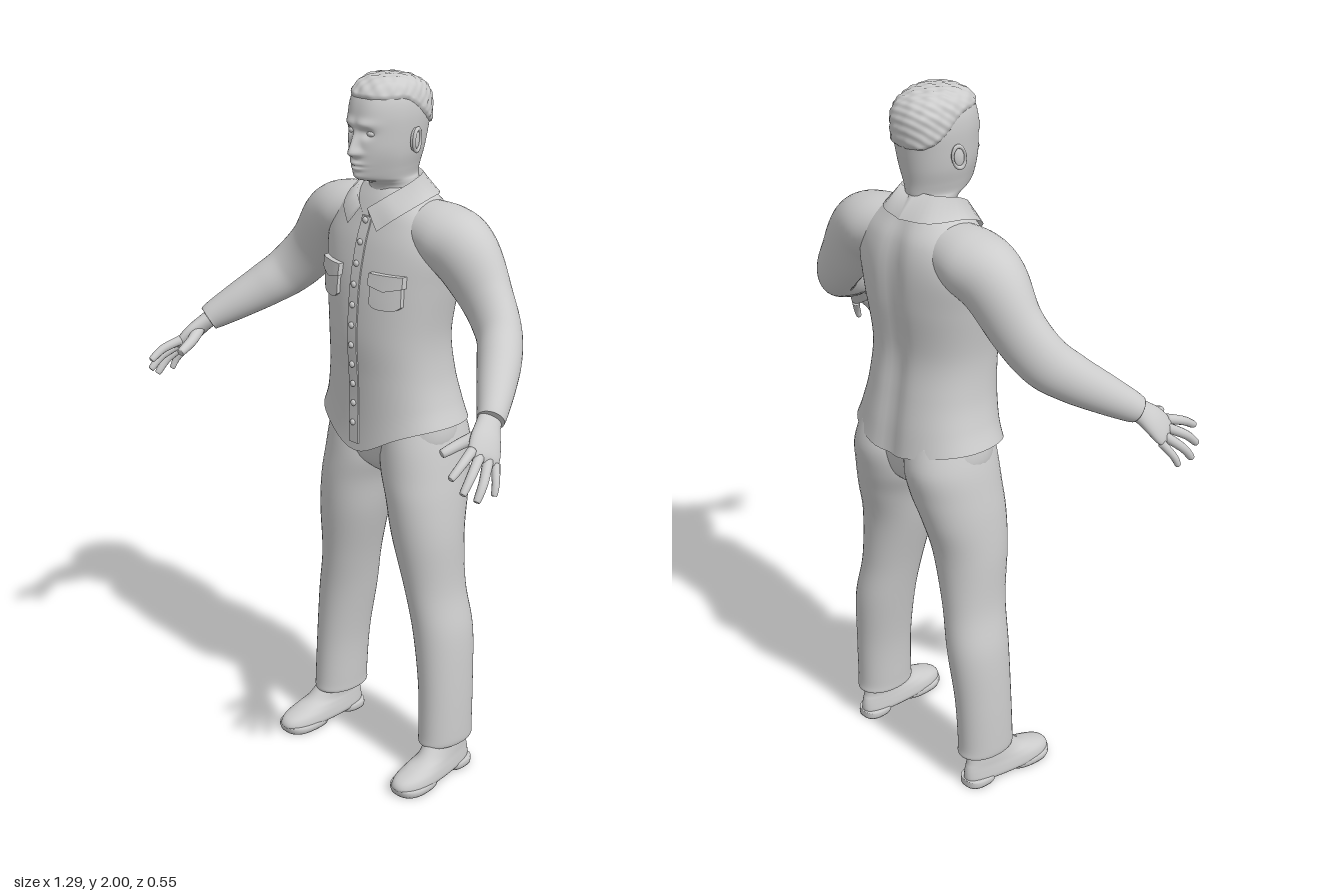
import * as THREE from 'three';

const { smoothstep } = THREE.MathUtils;
const V = (x, y, z) => new THREE.Vector3(x, y, z);
const bump = (d, w) => Math.exp(-(d * d) / (w * w));

// Smoothly interpolates the rows of a small table of cross-sections
function resample(table, count) {
  const last = table.length - 1;
  return Array.from({ length: count + 1 }, (_, k) => {
    const s = (k / count) * last, i = Math.min(Math.floor(s), last - 1), t = s - i;
    const [p, a, b, q] = [i - 1, i, i + 1, i + 2].map(j => table[Math.max(0, Math.min(last, j))]);
    return a.map((_, c) => {
      const m = (b[c] - p[c]) / 2, n = (q[c] - a[c]) / 2, d = b[c] - a[c];
      return a[c] + t * (m + t * (3 * d - 2 * m - n + t * (m + n - 2 * d)));
    });
  });
}

// Horizontal rings from rows [y, centre x, half width, front z, back z, squareness]
function levelRings(table, count, sides) {
  return resample(table, count).map(([y, cx, rx, zf, zb, n]) =>
    Array.from({ length: sides }, (_, j) => {
      const t = (j / sides) * Math.PI * 2, s = Math.sin(t), c = Math.cos(t);
      return V(cx + rx * Math.sign(s) * Math.abs(s) ** (2 / n), y,
        (zf + zb) / 2 + (zf - zb) / 2 * Math.sign(c) * Math.abs(c) ** (2 / n));
    }));
}

// Rings across a path from rows [x, y, z, thickness, radius along ref]
function limbRings(table, count, sides, ref) {
  const rows = resample(table, count), at = i => V(...rows[Math.max(0, Math.min(count, i))]);
  return rows.map((r, i) => {
    const T = at(i + 1).sub(at(i - 1)).normalize();
    const U = T.clone().cross(ref).normalize(), W = U.clone().cross(T);
    return Array.from({ length: sides }, (_, j) => {
      const t = (j / sides) * Math.PI * 2;
      return V(r[0], r[1], r[2]).addScaledVector(U, r[3] * Math.sin(t)).addScaledVector(W, r[4] * Math.cos(t));
    });
  });
}

// Skins a stack of rings, with optional end caps and a rule that moves vertices
function skin(rings, { bottom = true, top = true, rule } = {}) {
  const n = rings[0].length, m = rings.length, pts = rings.flat(), index = [];
  for (let i = 0; i < m - 1; i++) for (let j = 0; j < n; j++) {
    const a = i * n + j, b = i * n + (j + 1) % n;
    index.push(a, b, a + n, b, b + n, a + n);
  }
  const cap = (row, flip) => {
    const c = pts.length;
    pts.push(rings[row].reduce((s, p) => s.add(p), V(0, 0, 0)).divideScalar(n));
    for (let j = 0; j < n; j++) {
      const a = row * n + j, b = row * n + (j + 1) % n;
      flip ? index.push(b, a, c) : index.push(a, b, c);
    }
  };
  if (bottom) cap(0, true);
  if (top) cap(m - 1, false);
  if (rule) pts.forEach(rule);
  const g = new THREE.BufferGeometry().setFromPoints(pts);
  g.setIndex(index);
  g.computeVertexNormals();
  return g;
}

function mirrored(geo) {
  const g = geo.clone(), ix = g.index.array;
  g.attributes.position.array.forEach((v, i, arr) => { if (i % 3 === 0) arr[i] = -v; });
  for (let i = 0; i < ix.length; i += 3) [ix[i], ix[i + 1]] = [ix[i + 1], ix[i]];
  g.computeVertexNormals();
  return g;
}

export function createModel() {
  const model = new THREE.Group();
  const grey = new THREE.MeshStandardMaterial({ color: 0xcccccc, side: THREE.DoubleSide });
  grey.name = 'light grey';
  const add = (name, geo) => {
    const mesh = new THREE.Mesh(geo, grey);
    mesh.name = name;
    model.add(mesh);
  };
  const addPair = (name, geo) => { add('left ' + name, geo); add('right ' + name, mirrored(geo)); };

  // Shirt body with a curved hem and a groove down the back
  const shirt = [
    [1.065, 0, .222, .045, -.272, 2.3], [1.12, 0, .2, .042, -.262, 2.3], [1.2, 0, .182, .045, -.245, 2.3],
    [1.31, 0, .178, .05, -.232, 2.3], [1.45, 0, .198, .04, -.245, 2.3], [1.55, 0, .212, .02, -.245, 2.3],
    [1.62, 0, .19, -.003, -.232, 2.2], [1.67, 0, .135, -.022, -.205, 2.1], [1.705, 0, .085, -.04, -.18, 2]];
  add('shirt', skin(levelRings(shirt, 60, 72), {
    bottom: false,
    rule: p => {
      const c = Math.max(-1, Math.min(1, (p.z + .11) / .158)), hem = 1 - smoothstep(p.y, 1.06, 1.2);
      const side = bump(p.x, .13);
      if (c < 0) p.z += .014 * bump(p.x, .035) * smoothstep(-c, .3, .9);
      p.y -= hem * side * (c > 0 ? .09 : .04) * smoothstep(Math.abs(c), .1, .8);
    },
  }));

  // Details that follow the front of the shirt
  const rows = resample(shirt, 200);
  const frontZ = (x, y) => {
    const r = rows.reduce((a, b) => Math.abs(b[0] - y) < Math.abs(a[0] - y) ? b : a);
    const k = Math.max(0, 1 - Math.abs(x / r[2]) ** r[5]) ** (1 / r[5]);
    return (r[3] + r[4]) / 2 + (r[3] - r[4]) / 2 * k;
  };
  const draped = (w, h, d, x, y, rule = () => 0) => {
    const g = new THREE.BoxGeometry(w, h, d, 8, Math.ceil(h / .015), 1), p = g.attributes.position;
    for (let i = 0; i < p.count; i++) {
      const u = p.getX(i) / w;
      const px = p.getX(i) + x, py = p.getY(i) + y + (p.getY(i) < 0 ? rule(u) : 0);
      p.setXYZ(i, px, py, p.getZ(i) + frontZ(px, py));
    }
    g.computeVertexNormals();
    return g;
  };
  add('placket', draped(.034, .63, .008, 0, 1.315));
  addPair('chest pocket', draped(.085, .085, .022, .104, 1.443, u => .012 * (u * 2) ** 4));
  addPair('pocket flap', draped(.095, .032, .032, .104, 1.48, u => -.012 * (1 - Math.abs(u * 2))));
  for (let i = 0; i < 11; i++) {
    const y = 1.62 - i * .056, g = new THREE.SphereGeometry(.009, 12, 8);
    g.scale(1, 1, .7);
    g.translate(0, y, frontZ(0, y) + .006);
    add('button ' + (i + 1), g);
  }

  // Turned-down collar: stand, fold and pointed outer edge
  const edges = [
    [V(0, 1.67, -.16), V(.065, 1.67, -.13), V(.075, 1.66, -.08), V(.05, 1.64, -.03), V(.012, 1.62, -.005)],
    [V(0, 1.742, -.168), V(.066, 1.738, -.145), V(.086, 1.725, -.085), V(.056, 1.69, -.022), V(.012, 1.655, .008)],
    [V(0, 1.675, -.212), V(.088, 1.68, -.188), V(.132, 1.682, -.1), V(.105, 1.645, -.018), V(.055, 1.602, .016)],
  ].map(e => new THREE.CatmullRomCurve3(e).getPoints(20));
  const collar = new THREE.BufferGeometry().setFromPoints(edges.flat()), faces = [];
  for (let r = 0; r < 2; r++) for (let i = 0; i < 20; i++) {
    const a = r * 21 + i;
    faces.push(a, a + 21, a + 1, a + 1, a + 21, a + 22);
  }
  collar.setIndex(faces);
  collar.computeVertexNormals();
  addPair('collar', collar);

  // Trousers: seat and legs
  add('trouser seat', skin(levelRings([
    [.89, 0, .07, -.05, -.16, 2], [.93, 0, .15, -.012, -.215, 2.2], [1, 0, .2, .008, -.24, 2.3],
    [1.08, 0, .195, .015, -.24, 2.3], [1.14, 0, .17, .01, -.22, 2.3]], 24, 48)));
  addPair('trouser leg', skin(levelRings([
    [.1, .22, .054, -.025, -.188, 2.1], [.105, .22, .061, -.018, -.197, 2.1], [.14, .22, .063, -.02, -.195, 2.1],
    [.28, .214, .066, -.024, -.2, 2.1], [.44, .196, .074, -.022, -.21, 2.1], [.575, .17, .076, -.012, -.202, 2.1],
    [.73, .147, .094, .008, -.208, 2.1], [.84, .131, .101, .015, -.235, 2.1], [.92, .112, .109, .014, -.255, 2.1],
    [1.0, .102, .105, .01, -.268, 2.1], [1.08, .095, .09, 0, -.25, 2.1]], 60, 40)));

  // Shoes, wider and splayed towards the toe
  const splay = p => {
    const f = smoothstep(p.z, -.18, .08);
    p.x = .226 + (p.x - .226) * (.8 + .28 * f) + .012 * f;
  };
  addPair('shoe', skin(levelRings([
    [.012, .226, .047, .1, -.18, 2.4], [.022, .226, .052, .112, -.188, 2.4], [.042, .226, .05, .1, -.188, 2.3],
    [.06, .226, .046, .055, -.185, 2.2], [.08, .226, .043, .005, -.18, 2.1], [.13, .22, .042, -.04, -.178, 2]],
    24, 40), { rule: splay }));
  for (const [name, zf, zb] of [['sole', .108, -.045], ['heel', -.095, -.19]])
    addPair('shoe ' + name, skin(levelRings([
      [0, .226, .048, zf - .004, zb, 2.6], [.012, .226, .052, zf, zb, 2.6], [.022, .226, .05, zf, zb, 2.6]],
      4, 32), { rule: splay }));

  // Sleeved arms
  addPair('arm', skin(limbRings([
    [.09, 1.6, -.12, .085, .075], [.18, 1.586, -.122, .1, .088], [.25, 1.552, -.12, .088, .094],
    [.33, 1.458, -.116, .066, .08], [.4, 1.383, -.09, .06, .072], [.45, 1.335, -.04, .058, .064],
    [.5, 1.288, .025, .05, .053], [.54, 1.25, .08, .04, .042], [.552, 1.236, .1, .036, .036]],
    60, 36, V(0, 1, 0))));

  // Hands: palm, four fingers and thumb
  const across = V(-.035, .035, .065);
  addPair('palm', skin(limbRings([
    [.54, 1.25, .08, .024, .032], [.556, 1.226, .112, .022, .034], [.574, 1.198, .14, .021, .043],
    [.59, 1.168, .162, .017, .045], [.597, 1.155, .172, .008, .038]], 20, 24, across)));
  const fingers = {
    'index finger': [[.574, 1.186, .188], [.589, 1.168, .24], [.592, 1.145, .278]],
    'middle finger': [[.587, 1.172, .174], [.61, 1.14, .228], [.617, 1.108, .262]],
    'ring finger': [[.599, 1.158, .156], [.625, 1.118, .2], [.632, 1.083, .228]],
    'little finger': [[.608, 1.146, .138], [.63, 1.11, .16], [.637, 1.083, .172]],
    thumb: [[.555, 1.21, .135], [.532, 1.192, .18], [.517, 1.175, .23]],
  };
  for (const [name, [a, b, c]] of Object.entries(fingers)) {
    const r = name === 'thumb' ? .015 : name === 'little finger' ? .01 : .012;
    const tip = c.map((v, i) => v + (v - b[i]) * .1);
    addPair(name, skin(limbRings([[...a, r * 1.15, r * 1.15], [...b, r, r], [...c, r * .8, r * .8],
      [...tip, r * .35, r * .35]], 18, 12, across)));
  }

  // Head and neck, with the features of the face raised and sunk
  const headRings = () => levelRings([
    [1.64, 0, .074, -.025, -.172, 2], [1.7, 0, .066, -.035, -.172, 2], [1.722, 0, .064, -.012, -.173, 2],
    [1.735, 0, .064, .026, -.175, 2], [1.76, 0, .07, .037, -.178, 2.1], [1.8, 0, .08, .039, -.186, 2.2],
    [1.85, 0, .086, .037, -.194, 2.3], [1.9, 0, .089, .034, -.2, 2.4], [1.94, 0, .085, .024, -.194, 2.4],
    [1.97, 0, .073, .006, -.172, 2.3], [1.988, 0, .048, -.028, -.13, 2.2], [1.993, 0, .012, -.065, -.09, 2]], 120, 120);
  const face = p => {
    const f = smoothstep(p.z, -.06, .03), x = Math.abs(p.x), y = p.y;
    const front = smoothstep(p.z, -.025, .01);
    const nose = bump(x, .011 + .008 * bump(y - 1.806, .012));
    const ridge = y < 1.806 ? bump(y - 1.806, .01) : 1 - smoothstep(y, 1.806, 1.875);
    p.z += front * (.026 * nose * ridge + .008 * bump(y - 1.882, .012) * bump(x - .028, .03)
      - .013 * bump(y - 1.858, .012) * bump(x - .034, .016)
      + .009 * bump(y - 1.778, .006) * bump(x, .024) + .008 * bump(y - 1.765, .006) * bump(x, .021)
      - .005 * bump(y - 1.7715, .003) * bump(x, .026) + .006 * bump(y - 1.742, .011) * bump(x, .025));
    if (y > 1.71) p.x *= 1 - f * (.08 + .14 * (1 - smoothstep(y, 1.73, 1.83)));
  };
  add('head', skin(headRings(), { rule: face }));
  const eye = new THREE.SphereGeometry(.013, 20, 14);
  eye.scale(1.1, .65, .8);
  eye.translate(.034, 1.857, .014);
  addPair('eye', eye);

  // Ears
  const ear = new THREE.SphereGeometry(.03, 20, 14);
  ear.scale(.32, 1.05, .62);
  const rim = new THREE.TorusGeometry(.024, .005, 8, 24);
  rim.rotateY(Math.PI / 2);
  rim.scale(1, 1.2, .72);
  rim.translate(.007, 0, 0);
  for (const [name, g] of [['ear', ear], ['ear rim', rim]]) {
    g.rotateX(-.15).rotateY(.3);
    g.translate(.089, 1.835, -.09);
    addPair(name, g);
  }

  // Short rough hair: the scalp swollen above the hairline and hidden below it
  const hairline = z => z > -.03 ? 1.945 : 1.945 - .085 * smoothstep(-z, .05, .19);
  add('hair', skin(headRings().slice(50), {
    rule: p => {
      face(p);
      const rough = Math.sin(p.x * 170 + p.y * 90) * Math.sin(p.z * 150 + p.x * 60) + .6 * Math.sin(p.y * 260 + p.z * 210);
      const up = smoothstep(p.y - hairline(p.z), -.008, .008);
      const out = V(p.x, p.y - 1.88, p.z + .08).normalize();
      p.addScaledVector(out, -.008 + up * (.0135 + .0018 * rough));
    },
  }));

  return model;
}
